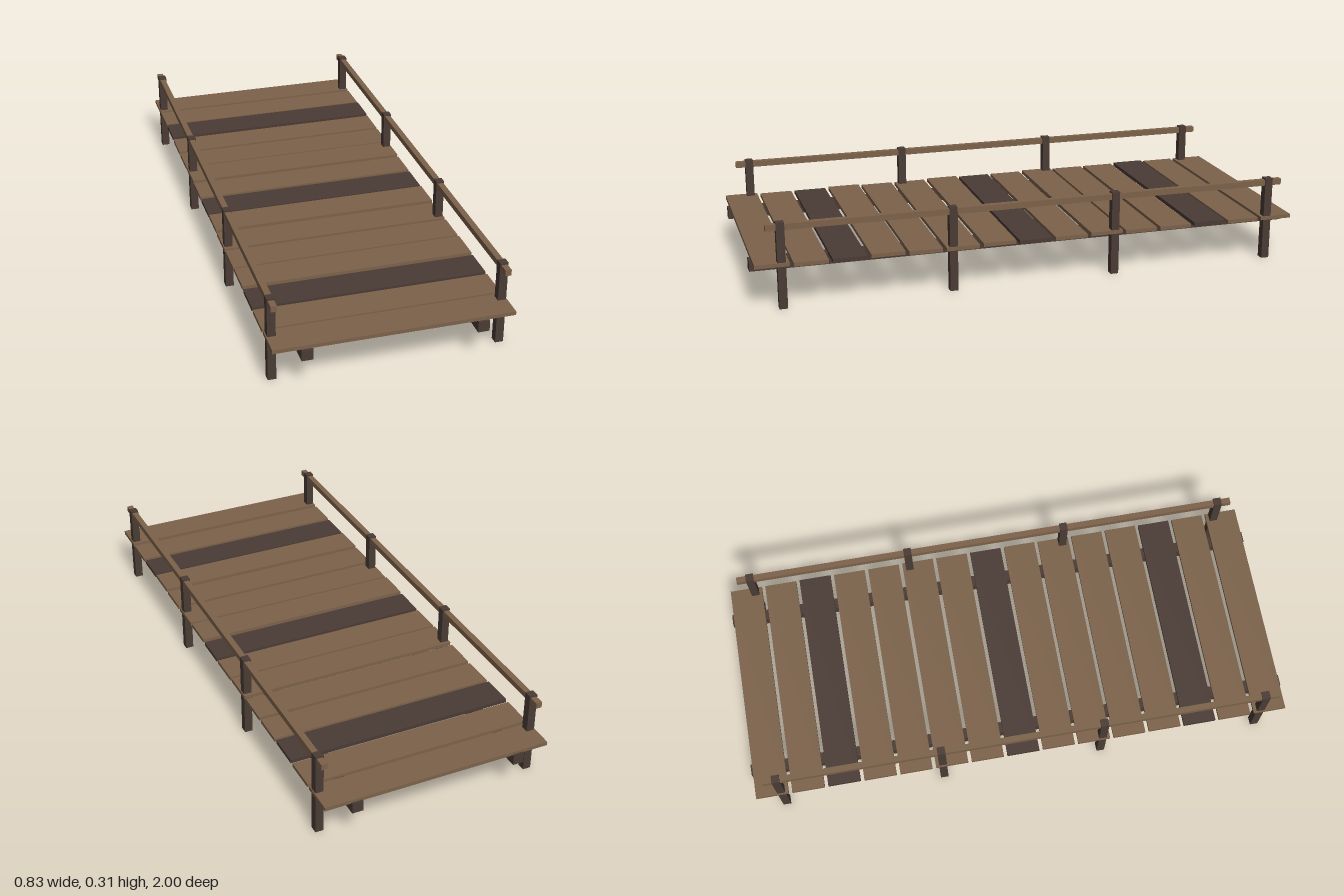
import * as THREE from 'three';

const wood = new THREE.MeshStandardMaterial({ color: 0x7c624a });
wood.name = 'lightWood';
const darkWood = new THREE.MeshStandardMaterial({ color: 0x4a3b35 });
darkWood.name = 'darkWood';

export function createModel() {
  const group = new THREE.Group();
  group.name = 'footbridge';

  const box = (name, material, [w, h, d], [x, y, z]) => {
    const mesh = new THREE.Mesh(new THREE.BoxGeometry(w, h, d), material);
    mesh.name = name;
    mesh.position.set(x, y, z);
    group.add(mesh);
  };

  // Deck: every fifth plank is dark, every third sits slightly higher
  const count = 15, pitch = 2 / count;
  for (let i = 0; i < count; i++) {
    const y = i % 3 === 2 ? 0.16 : 0.1565;
    box('plank', i % 5 === 2 ? darkWood : wood, [0.828, 0.0133, 0.12], [0, y, (i - 7) * pitch]);
  }

  // Support beams, railing posts and handrails, mirrored on both sides
  for (const side of [-1, 1]) {
    box('beam', darkWood, [0.04, 0.04, 2], [side * 0.3, 0.1333, 0]);
    for (const z of [-0.9, -0.3, 0.3, 0.9]) {
      box('post', darkWood, [0.029, 0.308, 0.029], [side * 0.396, 0.154, z]);
    }
    box('handrail', wood, [0.0215, 0.0215, 1.9], [side * 0.396, 0.2915, 0]);
  }
  return group;
}
